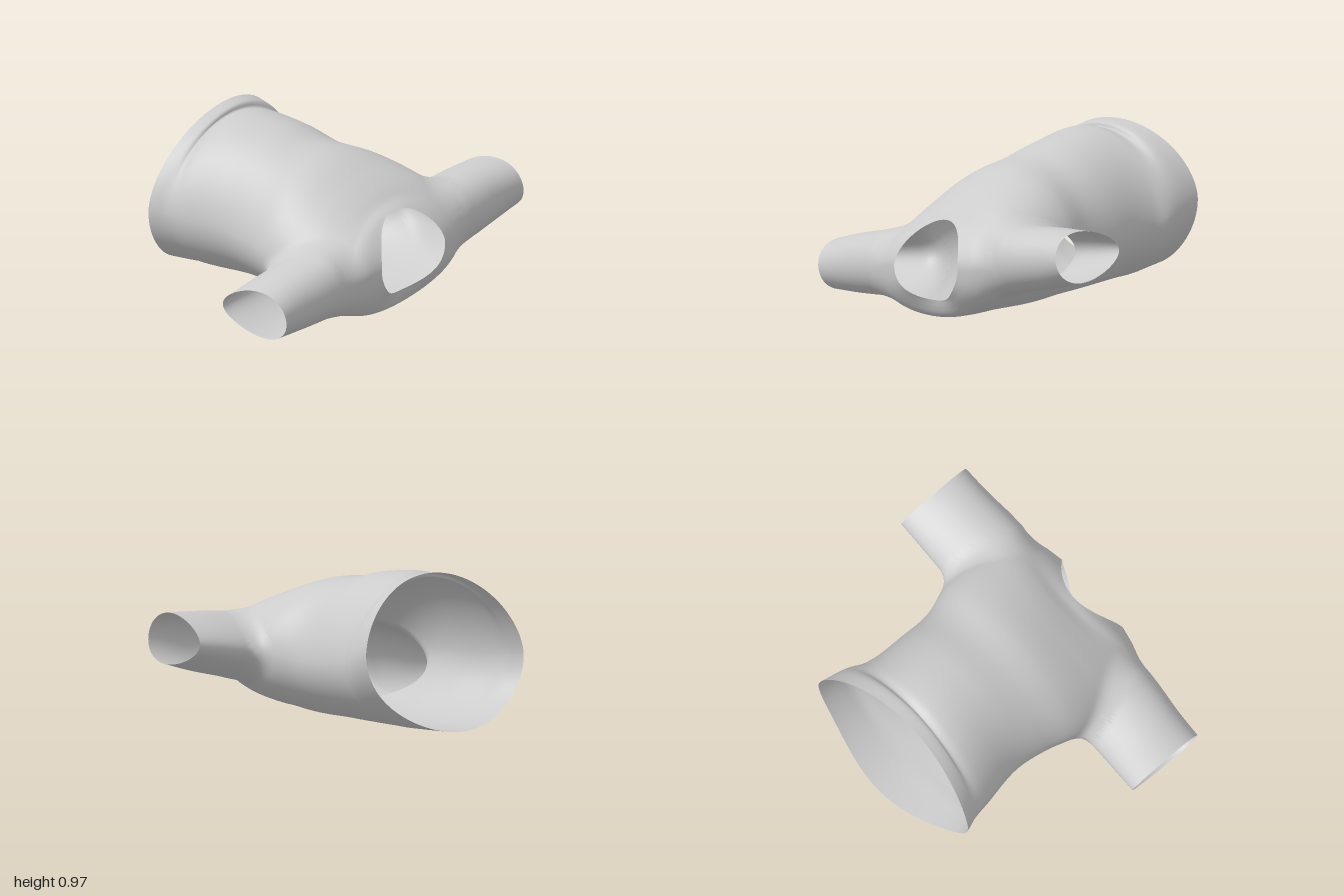
import * as THREE from 'three';

const cloth = new THREE.MeshStandardMaterial({ color: 0xcccccc, side: THREE.DoubleSide });
const clamp = THREE.MathUtils.clamp;

// Smooth interpolation through rows of [key, ...values]
function profile(rows) {
  const n = rows[0].length - 1;
  const it = new THREE.CubicInterpolant(
    new Float32Array(rows.map(r => r[0])),
    new Float32Array(rows.flatMap(r => r.slice(1))), n);
  return k => Array.from(it.evaluate(k));
}

// Body rings: side z, z shift at top, z shift at bottom, centre x, centre y,
// half width, height above centre, height below centre, slant
const bodyAt = profile([
  [-0.72, 0.08, -0.09, -0.03, 0.5, 0.58, 0.46, 0.425, 0.12],
  [-0.62, 0.06, -0.04, -0.02, 0.47, 0.56, 0.475, 0.405, 0.09],
  [-0.56, 0.01, -0.01, -0.02, 0.45, 0.55, 0.468, 0.39, 0.06],
  [-0.5, 0, 0, -0.03, 0.435, 0.53, 0.5, 0.38, 0.05],
  [-0.2, 0, 0, -0.01, 0.4, 0.495, 0.505, 0.355, 0.04],
  [0, 0, 0, -0.015, 0.38, 0.51, 0.47, 0.345, 0.05],
  [0.2, 0, 0, -0.007, 0.37, 0.565, 0.445, 0.348, 0.09],
  [0.45, -0.05, -0.01, 0, 0.345, 0.575, 0.385, 0.325, 0.15],
  [0.62, -0.1, -0.03, 0, 0.325, 0.55, 0.335, 0.31, 0.18],
  [0.72, -0.13, -0.05, 0, 0.32, 0.485, 0.29, 0.288, 0.16],
  [0.78, -0.145, -0.08, -0.01, 0.325, 0.36, 0.262, 0.24, 0.13],
  [0.8, -0.15, -0.09, -0.01, 0.33, 0.26, 0.25, 0.205, 0.12],
]);
const peak = 1.15; // the upper half is drawn to a soft ridge

// Sleeve rings: distance from the middle, half height, half depth, centre z
const sleeveAt = profile([
  [0.3, 0.1, 0.14, 0.48],
  [0.4, 0.16, 0.22, 0.485],
  [0.5, 0.182, 0.258, 0.488],
  [0.6, 0.175, 0.257, 0.49],
  [0.8, 0.16, 0.247, 0.482],
  [0.975, 0.138, 0.243, 0.48],
]);
const slope = 0.19, sleeveY = x => 0.33 + slope * x;

// Forward or backward lean of a body ring at the height s
const lean = (s, dTop, dBottom) => s > 0 ? dTop * s * s : dBottom * s ** 4;

// Point on the body, moved out by the distance r
function bodyPoint(z, a, r) {
  const [dTop, dBottom, cx, cy, hw, up, down, slant] = bodyAt(z);
  const c = Math.cos(a), s = Math.sin(a);
  const g = 1 + r / Math.sqrt(hw * (up + down) / 2);
  const skew = -0.045 * THREE.MathUtils.smoothstep(-z, 0.5, 0.72) * c;
  const y = s > 0 ? up * (g * s) ** peak : down * g * s;
  return new THREE.Vector3(cx + g * hw * c, cy + y + g * slant * hw * c,
    z + lean(s, dTop, dBottom) + skew);
}

// Distance from the body, undoing the lean of the shoulders step by step
function bodyDistance(p) {
  let z = p.z, rho, size;
  for (let i = 0; i < 12; i++) {
    const [dTop, dBottom, cx, cy, hw, up, down, slant] = bodyAt(z);
    const y = p.y - cy - slant * (p.x - cx);
    const v = y > 0 ? (y / up) ** (1 / peak) : y / down;
    rho = Math.hypot((p.x - cx) / hw, v);
    size = Math.sqrt(hw * (up + down) / 2);
    z = Math.min(0.8, (z + p.z - lean(v / Math.max(rho, 0.01), dTop, dBottom)) / 2);
  }
  return (rho - 1) * size;
}

// Point on a sleeve, moved out by the distance r
function sleevePoint(side, d, a, r) {
  const [h, w, cz] = sleeveAt(d);
  const g = 1 + r / Math.sqrt(h * w), c = g * Math.cos(a);
  const y = -side * Math.sin(a) * h * g * (1 + 0.25 * clamp(c, -1, 1));
  const x = side * d;
  return new THREE.Vector3(x - slope * y, sleeveY(x) + y, cz + w * c);
}

function sleeveDistance(p) {
  const x = (p.x + slope * (p.y - 0.33)) / (1 + slope * slope);
  const [h, w, cz] = sleeveAt(clamp(Math.abs(x), 0.3, 0.975));
  const u = (p.z - cz) / w;
  const v = (p.y - sleeveY(x)) / (h * (1 + 0.25 * clamp(u, -1, 1)));
  // nothing of the sleeve reaches the middle of the body
  return (Math.hypot(u, v) - 1) * Math.sqrt(h * w) + Math.max(0, 0.3 - Math.abs(x));
}

// Moves a point out until it lies on the rounded join of its own part and the other
const joinSize = 0.08;
function join(pointAt, otherDistance) {
  let r = 0, p, gap;
  for (let i = 0; i < 40; i++) {
    p = pointAt(r);
    const f = otherDistance(p);
    const h = Math.max(0, joinSize - Math.abs(r - f));
    gap = Math.min(r, f) - h * h / (4 * joinSize);
    if (Math.abs(gap) < 1e-4) break;
    r = clamp(r - gap * 0.6, 0, joinSize);
  }
  return { p, hidden: gap < -0.004 };
}

// Open tube of rings; quads that run into the other part are left out
function tube(name, rows, cols, point, otherDistance) {
  const pts = [], index = [];
  for (let i = 0; i <= rows; i++)
    for (let j = 0; j < cols; j++)
      pts.push(join(r => point(i / rows, j / cols * Math.PI * 2, r), otherDistance));
  for (let i = 0; i < rows; i++) {
    for (let j = 0; j < cols; j++) {
      const k = (j + 1) % cols;
      const a = i * cols + j, b = i * cols + k, c = b + cols, d = a + cols;
      if (![a, b, c, d].some(n => pts[n].hidden)) index.push(a, b, c, a, c, d);
    }
  }
  const g = new THREE.BufferGeometry().setFromPoints(pts.map(q => q.p));
  g.setIndex(index);
  g.computeVertexNormals();
  const mesh = new THREE.Mesh(g, cloth);
  mesh.name = name;
  return mesh;
}

export function createModel() {
  const shirt = new THREE.Group();
  shirt.name = 'shirt';
  // body from the open hem to the neck opening, rings closer together at the shoulders
  shirt.add(tube('body', 110, 160,
    (t, a, r) => bodyPoint(-0.72 + 1.52 * Math.sin(t * Math.PI / 2), a, r), sleeveDistance));
  // sleeves from inside the shoulders to the open cuffs
  for (const side of [1, -1])
    shirt.add(tube(side > 0 ? 'leftSleeve' : 'rightSleeve', 100, 90,
      (t, a, r) => sleevePoint(side, 0.31 + 0.665 * t, a, r), bodyDistance));
  return shirt;
}
